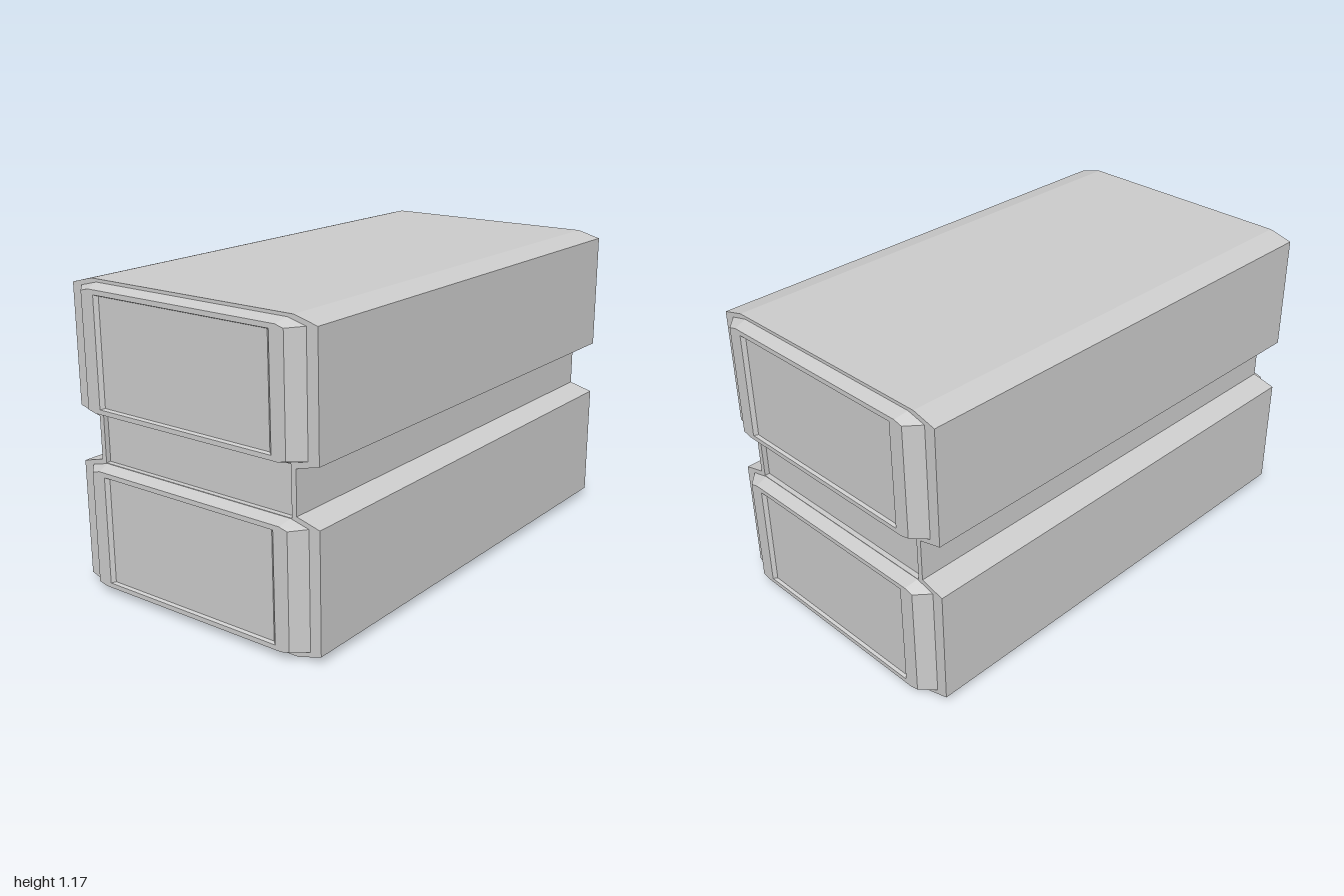
import * as THREE from 'three';

const material = new THREE.MeshStandardMaterial({ color: 0xcccccc, flatShading: true });
const HALF = 0.95, RECESS = 0.02, PITCH = 0.67;

// Double-lobed side profile, mirrored in z
function profile() {
  const right = [[0.455, 0], [0.55, 0.03], [0.55, 0.48], [0.455, 0.505],
    [0.455, 0.67], [0.55, 0.695], [0.55, 1.15], [0.455, 1.175]];
  const left = right.map(([z, y]) => [-z, y]).reverse();
  return new THREE.Shape([...right, ...left].map(([z, y]) => new THREE.Vector2(z, y)));
}

// Extrude a profile along x, starting at x0
function extrudeX(shape, x0, depth) {
  const geo = new THREE.ExtrudeGeometry(shape, { depth, bevelEnabled: false });
  return geo.rotateY(Math.PI / 2).translate(x0, 0, 0);
}

// Eight-point ring in the zy plane: side half width and height, then top half width and height
function ring(x, zSide, ySide, zTop, yTop) {
  return [[zTop, yTop], [zSide, ySide], [zSide, -ySide], [zTop, -yTop],
    [-zTop, -yTop], [-zSide, -ySide], [-zSide, ySide], [-zTop, yTop]]
    .map(([z, y]) => [x, y, z]);
}

// Skin consecutive rings and close the last one
function loft(rings) {
  const n = rings[0].length, index = [];
  for (let r = 0; r < rings.length - 1; r++) {
    for (let i = 0; i < n; i++) {
      const a = r * n + i, b = r * n + (i + 1) % n;
      index.push(a, b, b + n, a, b + n, a + n);
    }
  }
  const last = (rings.length - 1) * n;
  for (let i = 1; i < n - 1; i++) index.push(last, last + i, last + i + 1);
  const geo = new THREE.BufferGeometry();
  geo.setAttribute('position', new THREE.Float32BufferAttribute(rings.flat(2), 3));
  geo.setIndex(index);
  const flat = geo.toNonIndexed();
  flat.computeVertexNormals();
  return flat;
}

function addMesh(parent, name, geo) {
  const mesh = new THREE.Mesh(geo, material);
  mesh.name = name;
  parent.add(mesh);
  return mesh;
}

export function createModel() {
  const model = new THREE.Group();
  model.name = 'container';

  // Main body
  const inner = HALF - RECESS;
  addMesh(model, 'body', extrudeX(profile(), -inner, inner * 2));

  // End rim with a shallow opening at the waist
  const rimShape = profile();
  rimShape.holes.push(new THREE.Path([[-0.435, 0.495], [-0.435, 0.682], [0.435, 0.682], [0.435, 0.495]]
    .map(([z, y]) => new THREE.Vector2(z, y))));
  const rimGeo = extrudeX(rimShape, inner, RECESS);

  // Bevelled end panel with a sunken centre
  const panelGeo = loft([
    ring(inner, 0.505, 0.22, 0.43, 0.239),
    ring(HALF, 0.505, 0.22, 0.43, 0.239),
    ring(1, 0.455, 0.216, 0.42, 0.225),
    ring(1, 0.395, 0.207, 0.395, 0.207),
    ring(0.988, 0.38, 0.202, 0.38, 0.202),
  ]);

  for (const side of ['left', 'right']) {
    const end = new THREE.Group();
    end.name = side + 'End';
    if (side === 'right') end.rotation.y = Math.PI;
    addMesh(end, 'endRim', rimGeo);
    for (const [i, name] of ['lowerPanel', 'upperPanel'].entries()) {
      addMesh(end, name, panelGeo).position.y = 0.254 + i * PITCH;
    }
    model.add(end);
  }
  return model;
}
